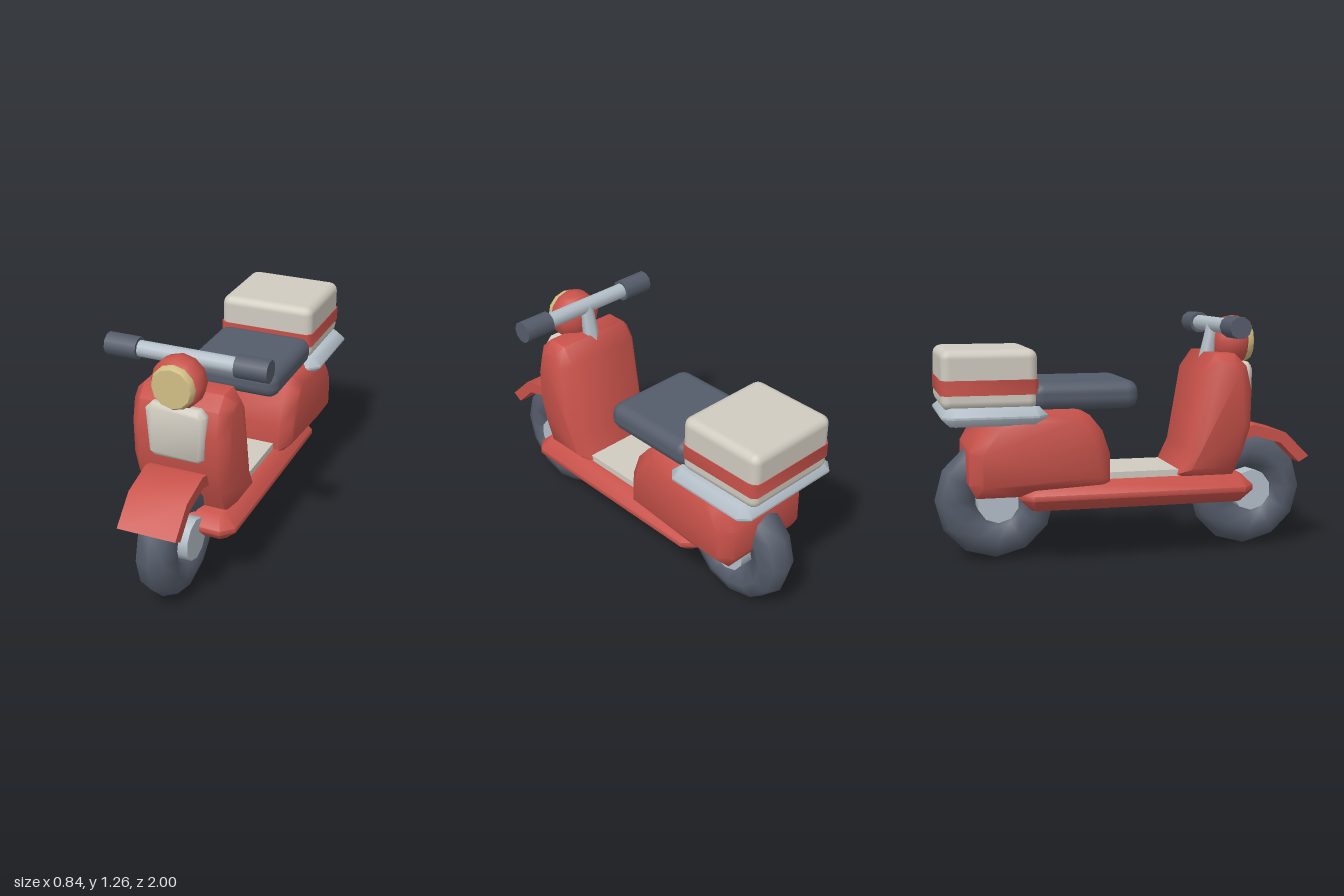
import * as THREE from 'three';
import { toCreasedNormals } from 'three/addons/utils/BufferGeometryUtils.js';
import { RoundedBoxGeometry } from 'three/addons/geometries/RoundedBoxGeometry.js';

const mat = (name, color) => {
  const m = new THREE.MeshStandardMaterial({ color });
  m.name = name;
  return m;
};

// Extrude 2D points symmetrically, chamfering inwards so the outline keeps its size
function extrude(points, half, bevel = 0) {
  const shape = new THREE.Shape(points.map(([x, y]) => new THREE.Vector2(x, y)));
  const depth = 2 * (half - bevel);
  const g = new THREE.ExtrudeGeometry(shape, {
    depth, bevelEnabled: bevel > 0, bevelSize: bevel, bevelThickness: bevel,
    bevelOffset: -bevel, bevelSegments: 1,
  });
  return g.translate(0, 0, -depth / 2);
}
const smooth = (g) => toCreasedNormals(g, 0.9);

// Side profile given as [z, y], extruded across the width
const sideSlab = (profile, half, bevel) =>
  smooth(extrude(profile.map(([z, y]) => [-z, y]), half, bevel).rotateY(Math.PI / 2));

// Rectangle with cut corners, lying flat
function flatSlab(hx, hz, cut, halfHeight, bevel) {
  const pts = [[hx - cut, -hz], [hx, -hz + cut], [hx, hz - cut], [hx - cut, hz],
    [-hx + cut, hz], [-hx, hz - cut], [-hx, -hz + cut], [-hx + cut, -hz]];
  return smooth(extrude(pts, halfHeight, bevel).rotateX(-Math.PI / 2));
}

// Profile of [radius, z] turned about the z axis
const latheZ = (profile, sides) => smooth(new THREE.LatheGeometry(
  profile.map(([r, z]) => new THREE.Vector2(r, z)), sides).rotateX(Math.PI / 2).toNonIndexed());

const cylinderX = (r, length, sides) =>
  new THREE.CylinderGeometry(r, r, length, sides).rotateZ(Math.PI / 2);

export function createModel() {
  const red = mat('red paint', 0xc8524a);
  const dark = mat('dark rubber', 0x555c6a);
  const cream = mat('cream plastic', 0xd0cbc0);
  const metal = mat('pale metal', 0xb4bfc8);
  const glass = mat('lamp glass', 0xd0bd84);

  const model = new THREE.Group();
  model.name = 'scooter';
  const add = (name, geometry, material, x = 0, y = 0, z = 0) => {
    const mesh = new THREE.Mesh(geometry, material);
    mesh.name = name;
    mesh.position.set(x, y, z);
    model.add(mesh);
    return mesh;
  };

  // Wheels
  for (const [name, z] of [['front', 0.685], ['rear', -0.685]]) {
    add(name + 'Tyre', new THREE.TorusGeometry(0.21, 0.105, 8, 12).rotateY(Math.PI / 2), dark, 0, 0.32, z);
    add(name + 'Hub', cylinderX(0.11, 0.23, 10).rotateX(Math.PI / 2), metal, 0, 0.32, z);
  }

  // Front mudguard: a faceted arc over the wheel
  const arc = (r, steps) => steps.map((i) => {
    const a = (i * Math.PI) / 6;
    return [0.685 + r * Math.cos(a), 0.32 + r * Math.sin(a)];
  });
  add('frontMudguard', sideSlab([...arc(0.36, [1, 2, 3, 4, 5]), ...arc(0.298, [5, 4, 3, 2, 1])], 0.153, 0), red);

  // Floorboard and mat
  add('floorboard', flatSlab(0.285, 0.62, 0.06, 0.073, 0.06), red, 0, 0.358, 0.033);
  add('floorMat', new THREE.BoxGeometry(0.4, 0.06, 0.42), cream, 0, 0.435, 0.04);

  // Leg shield
  add('legShield', sideSlab([
    [0.54, 0.42], [0.6, 0.55], [0.64, 0.68], [0.645, 0.87], [0.615, 1.0], [0.55, 1.065],
    [0.44, 1.065], [0.375, 0.975], [0.305, 0.575], [0.24, 0.44], [0.3, 0.42],
  ], 0.257, 0.05), red);
  add('shieldPanel', smooth(extrude([
    [0.115, 0.73], [0.142, 0.75], [0.158, 0.98], [0.125, 1.015],
    [-0.125, 1.015], [-0.158, 0.98], [-0.142, 0.75], [-0.115, 0.73],
  ], 0.035, 0.02)), cream, 0, 0, 0.637);

  // Rear body
  add('rearBody', sideSlab([
    [-0.16, 0.4], [-0.125, 0.425], [-0.125, 0.57], [-0.165, 0.69], [-0.23, 0.77], [-0.31, 0.81],
    [-0.6, 0.81], [-0.72, 0.77], [-0.79, 0.69], [-0.842, 0.6], [-0.845, 0.43], [-0.81, 0.365],
    [-0.6, 0.365],
  ], 0.292, 0.06), red);

  // Seat
  add('seat', new RoundedBoxGeometry(0.535, 0.145, 0.55, 2, 0.06), dark, 0, 0.87, -0.25);

  // Luggage rack and case with its stripe
  add('rack', flatSlab(0.327, 0.263, 0.05, 0.045, 0.04), metal, 0, 0.78, -0.715);
  add('case', new RoundedBoxGeometry(0.53, 0.3, 0.48, 2, 0.045), cream, 0, 0.96, -0.735);
  add('caseStripe', flatSlab(0.268, 0.243, 0.025, 0.0375, 0), red, 0, 0.923, -0.735);

  // Headlight
  add('lampHousing', latheZ([[0, 0.49], [0.08, 0.505], [0.125, 0.55], [0.135, 0.6], [0.13, 0.64],
    [0.112, 0.66], [0, 0.66]], 12), red, 0, 1.122, 0);
  add('lampGlass', latheZ([[0, 0.64], [0.112, 0.64], [0.114, 0.675], [0.1, 0.695], [0, 0.695]], 12),
    glass, 0, 1.12, 0);

  // Steering stem, handlebar and grips
  const stem = add('steeringStem', new THREE.CylinderGeometry(0.035, 0.045, 0.24, 6), metal, 0, 1.1, 0.475);
  stem.rotation.x = 0.2;
  add('handlebar', cylinderX(0.041, 0.54, 10), metal, 0, 1.208, 0.505);
  for (const [name, side] of [['leftGrip', 1], ['rightGrip', -1]]) {
    add(name, cylinderX(0.057, 0.167, 10), dark, side * 0.337, 1.208, 0.505);
  }

  return model;
}
